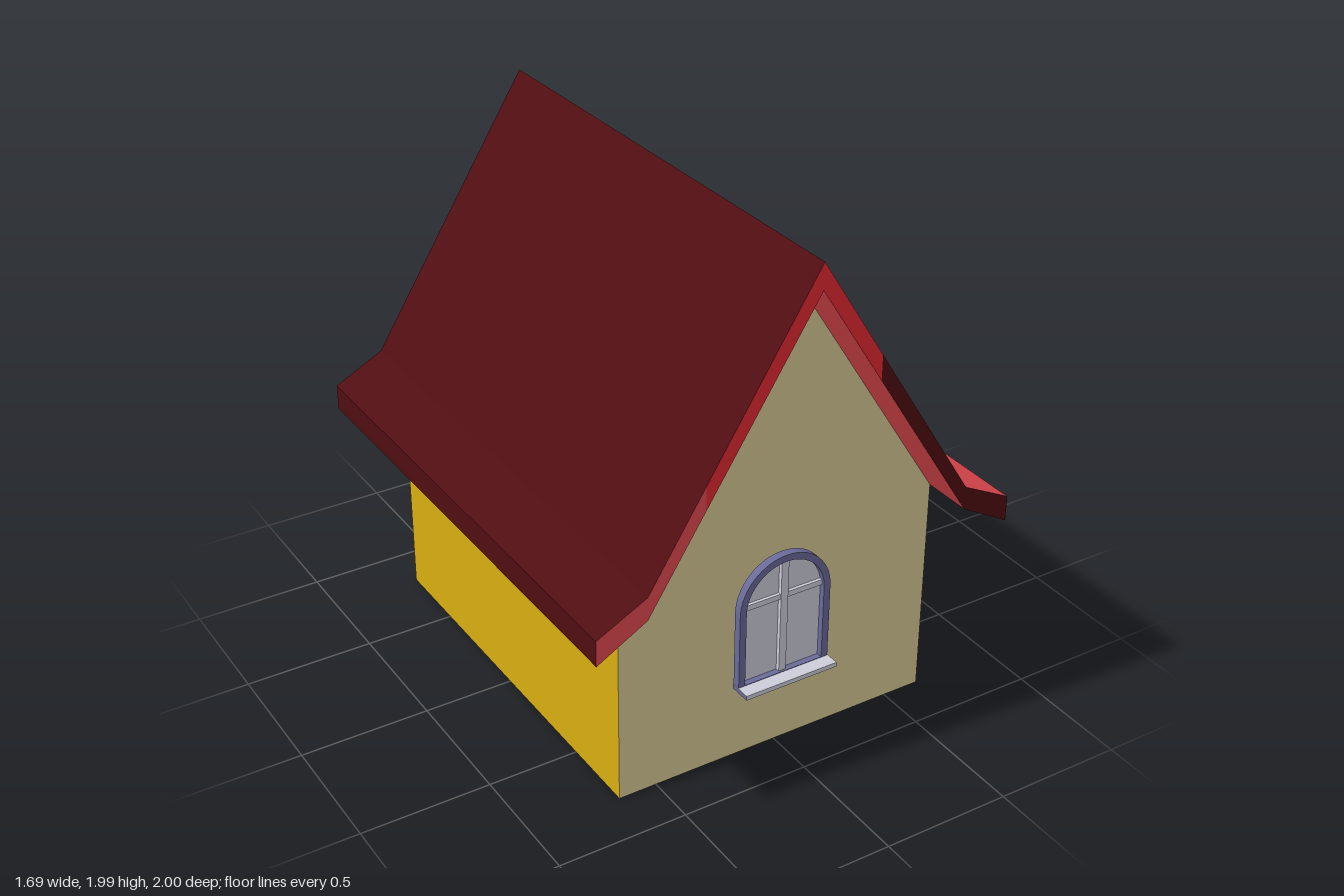
import * as THREE from 'three';

const paint = (name, color) => {
  const m = new THREE.MeshStandardMaterial({ color });
  m.name = name;
  return m;
};

export function createModel() {
  const tan = paint('tan plaster', 0xd8ca95);
  const gold = paint('soft gold plaster', 0xd8ba4e);
  const deepGold = paint('deep gold plaster', 0xd8ad12);
  const lightRed = paint('light red tile', 0xe44a50);
  const red = paint('red tile', 0xe42832);
  const maroon = paint('maroon tile', 0x500e12);
  const blue = paint('slate blue frame', 0x6a6a9a);
  const pale = paint('pale grey glass', 0xcdcdda);
  const orange = paint('orange wood', 0xd47038);
  const brown = paint('dark brown iron', 0x3c1408);

  const house = new THREE.Group();
  house.name = 'house';

  // Flat convex panel, wound so that it faces the direction "out"
  function panel(parent, name, mat, out, corners) {
    const p = corners.map((c) => new THREE.Vector3(...c));
    const n = p[1].clone().sub(p[0]).cross(p[2].clone().sub(p[0]));
    if (n.dot(new THREE.Vector3(...out)) < 0) p.reverse();
    const pts = [];
    for (let i = 1; i < p.length - 1; i++) pts.push(p[0], p[i], p[i + 1]);
    const g = new THREE.BufferGeometry().setFromPoints(pts);
    g.computeVertexNormals();
    const mesh = new THREE.Mesh(g, mat);
    mesh.name = name;
    parent.add(mesh);
  }
  function box(parent, name, mat, size, pos) {
    const mesh = new THREE.Mesh(new THREE.BoxGeometry(...size), mat);
    mesh.position.set(...pos);
    mesh.name = name;
    parent.add(mesh);
  }

  // Walls
  const W = 0.65, D = 0.805, eave = 0.87, peak = 1.89;
  const walls = new THREE.Group();
  walls.name = 'walls';
  house.add(walls);
  panel(walls, 'frontWall', tan, [0, 0, 1],
    [[-W, 0, D], [W, 0, D], [W, eave, D], [0, peak, D], [-W, eave, D]]);
  const split = 1.05, sx = W * (peak - split) / (peak - eave);
  panel(walls, 'backWall', deepGold, [0, 0, -1],
    [[-W, 0, -D], [W, 0, -D], [W, eave, -D], [sx, split, -D], [-sx, split, -D], [-W, eave, -D]]);
  panel(walls, 'backGable', tan, [0, 0, -1], [[-sx, split, -D], [sx, split, -D], [0, peak, -D]]);
  const sideWall = (name, mat, x, z0, z1) => panel(walls, name, mat, [x, 0, 0],
    [[x, 0, z0], [x, 0, z1], [x, eave, z1], [x, eave, z0]]);
  sideWall('leftWallFront', tan, W, 0.01, D);
  sideWall('leftWallBack', gold, W, -D, 0.01);
  sideWall('rightWall', deepGold, -W, -D, D);
  const floor = (name, mat, z0, z1) => panel(walls, name, mat, [0, -1, 0],
    [[-W, 0, z0], [W, 0, z0], [W, 0, z1], [-W, 0, z1]]);
  floor('floorBack', tan, -D, 0.6);
  floor('floorFront', deepGold, 0.6, D);

  // Roof: steep slopes with flared eaves
  const E = 0.845;
  const roof = new THREE.Group();
  roof.name = 'roof';
  house.add(roof);
  const height = (x, a, b, c) => {
    const t = Math.abs(x);
    return t < W ? a + (b - a) * t / W : b + (c - b) * (t - W) / (E - W);
  };
  const top = (x) => height(x, 1.99, 0.96, 0.86);
  const under = (x) => height(x, 1.89, 0.87, 0.76);
  const slab = (name, mat, x0, x1, z0, z1, f, up) => panel(roof, name, mat, [0, up, 0],
    [[x0, f(x0), z0], [x1, f(x1), z0], [x1, f(x1), z1], [x0, f(x0), z1]]);

  // Upper tiles
  for (const [x0, x1] of [[0, W], [W, E]]) {
    slab('leftRoofFront', lightRed, x0, x1, 0.085, 1, top, 1);
    slab('leftRoofMiddle', red, x0, x1, -0.59, 0.085, top, 1);
    slab('leftRoofBack', maroon, x0, x1, -1, -0.59, top, 1);
    slab('rightRoof', maroon, -x0, -x1, -1, 1, top, 1);
  }

  // Undersides
  slab('leftSoffit', lightRed, 0, W, -1, 1, under, -1);
  slab('leftEaveSoffit', red, W, E, -1, 1, under, -1);
  slab('rightSoffitFront', lightRed, -W, 0, 0, 1, under, -1);
  slab('rightSoffitBackTop', maroon, -0.25, 0, -1, 0, under, -1);
  slab('rightSoffitBackLow', red, -W, -0.25, -1, 0, under, -1);
  slab('rightEaveSoffit', lightRed, -E, -W, -1, 1, under, -1);

  // Gable edges, the back one turned half round
  const edges = [[-E, -W, lightRed], [-W, -0.43, lightRed], [-0.43, 0, red],
    [0, 0.25, red], [0.25, W, maroon], [W, E, maroon]];
  for (const s of [1, -1]) {
    for (const [a, b, mat] of edges) {
      panel(roof, s > 0 ? 'frontGableEdge' : 'backGableEdge', mat, [0, 0, s],
        [[a * s, under(a), s], [b * s, under(b), s], [b * s, top(b), s], [a * s, top(a), s]]);
    }
  }

  // Eave edges
  const eaveEdge = (name, mat, x, z0, z1) => panel(roof, name, mat, [x, 0, 0],
    [[x, under(x), z0], [x, under(x), z1], [x, top(x), z1], [x, top(x), z0]]);
  eaveEdge('leftEaveFront', maroon, E, 0.03, 1);
  eaveEdge('leftEaveMiddle', red, E, -0.64, 0.03);
  eaveEdge('leftEaveBack', lightRed, E, -1, -0.64);
  eaveEdge('rightEave', maroon, -E, -1, 1);

  // Arched window, base at y = 0, facing +z
  function arch(ShapeType, r, y0, spring) {
    const s = new ShapeType();
    s.moveTo(-r, y0);
    s.lineTo(r, y0);
    s.lineTo(r, spring);
    s.absarc(0, spring, r, 0, Math.PI, false);
    s.closePath();
    return s;
  }
  function makeWindow(name, face) {
    const g = new THREE.Group();
    g.name = name;
    const ring = arch(THREE.Shape, 0.19, 0.01, 0.32);
    ring.holes.push(arch(THREE.Path, 0.163, 0.02, 0.32));
    const frame = new THREE.Mesh(new THREE.ExtrudeGeometry(ring,
      { depth: 0.032, bevelEnabled: false, curveSegments: 16 }), [face, blue]);
    frame.name = 'windowFrame';
    const glass = new THREE.Mesh(new THREE.ExtrudeGeometry(arch(THREE.Shape, 0.165, 0.015, 0.32),
      { depth: 0.008, bevelEnabled: false, curveSegments: 16 }), pale);
    glass.name = 'windowGlass';
    g.add(frame, glass);
    box(g, 'windowUpright', pale, [0.03, 0.46, 0.02], [0, 0.25, 0.014]);
    box(g, 'windowCrossbar', pale, [0.325, 0.022, 0.016], [0, 0.335, 0.012]);
    box(g, 'windowSill', [blue, blue, pale, blue, pale, blue], [0.385, 0.018, 0.086], [0, 0.009, 0.043]);
    house.add(g);
    return g;
  }
  makeWindow('frontWindow', blue).position.set(0, 0.31, 0.822);
  const backWindow = makeWindow('backWindow', pale);
  backWindow.position.set(0, 0.89, -0.822);
  backWindow.rotation.y = Math.PI;

  // Back door with frame and ring handle, facing +z before turning
  const door = new THREE.Group();
  door.name = 'door';
  door.position.z = -0.8;
  door.rotation.y = Math.PI;
  house.add(door);
  box(door, 'doorLeaf', orange, [0.36, 0.66, 0.025], [0, 0.33, 0.0125]);
  for (const s of [-1, 1]) box(door, 'doorJamb', orange, [0.035, 0.69, 0.042], [s * 0.195, 0.345, 0.021]);
  box(door, 'doorLintel', orange, [0.355, 0.035, 0.042], [0, 0.6725, 0.021]);
  const bow = new THREE.Mesh(new THREE.TorusGeometry(0.055, 0.011, 8, 16, Math.PI), brown);
  bow.name = 'handleBow';
  bow.rotation.z = -Math.PI / 2;
  bow.position.set(0, 0.385, 0.034);
  door.add(bow);
  for (const s of [-1, 1]) box(door, 'handleArm', brown, [0.045, 0.02, 0.02], [-0.022, 0.385 + s * 0.055, 0.034]);
  box(door, 'handleBar', brown, [0.02, 0.13, 0.02], [-0.04, 0.385, 0.034]);

  return house;
}
